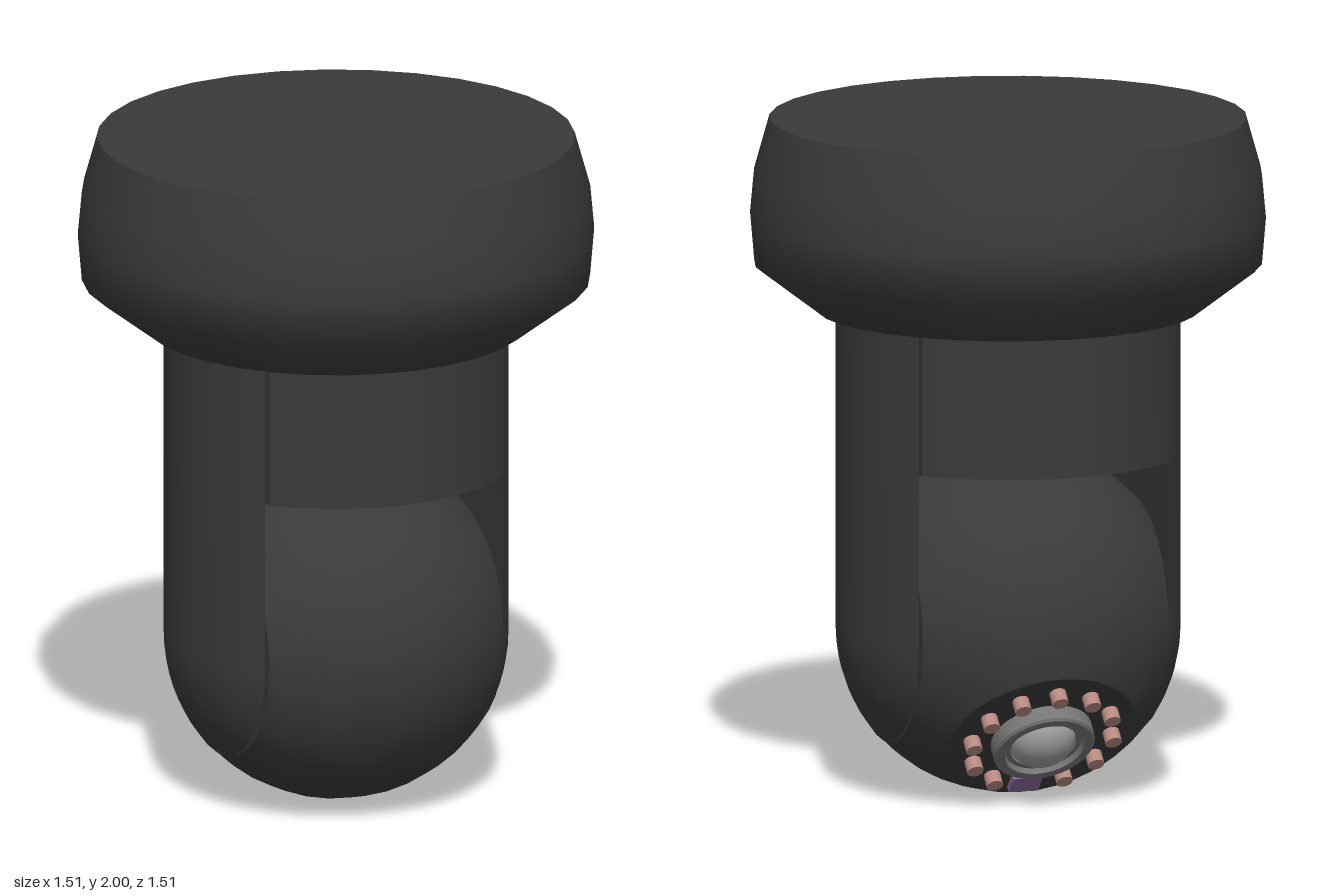
import * as THREE from 'three';
import { toCreasedNormals } from 'three/addons/utils/BufferGeometryUtils.js';
import { ConvexGeometry } from 'three/addons/geometries/ConvexGeometry.js';

const material = (color) => new THREE.MeshStandardMaterial({ color });
const V = (x, y, z) => new THREE.Vector3(x, y, z);
const SEG = 32;

export function createModel() {
  const model = new THREE.Group();
  const dark = material(0x3a3a3a);
  const metal = material(0x777777);
  const glass = material(0xa0a0a0);
  const red = material(0xb98a82);
  const purple = material(0x8a6a9c);

  const add = (name, geometry, mat, parent = model) => {
    const mesh = new THREE.Mesh(geometry, mat);
    mesh.name = name;
    parent.add(mesh);
    return mesh;
  };
  // Smooth convex solid with sharp cut edges
  const hull = (points) => toCreasedNormals(new ConvexGeometry(points), 0.4);

  // Ceiling mount: rounded side wall with a bevel, closed by two discs
  const profile = [[0.56, 1.43], [0.745, 1.57], [0.757, 1.71], [0.745, 1.84], [0.7, 2]];
  const mount = new THREE.Group();
  mount.name = 'ceilingMount';
  model.add(mount);
  add('mountWall', new THREE.LatheGeometry(profile.map(([r, y]) => new THREE.Vector2(r, y)), SEG), dark, mount);
  for (const [name, r, y, turn] of [['mountTop', 0.7, 2, -1], ['mountBottom', 0.56, 1.43, 1]]) {
    const disc = add(name, new THREE.CircleGeometry(r, SEG), dark, mount);
    disc.position.y = y;
    disc.rotation.x = turn * Math.PI / 2;
  }

  // Neck: drum with flat sides, between the arms
  const neckR = 0.515, cutX = 0.38;
  const neckPoints = [];
  const half = Math.asin(cutX / neckR);
  for (let i = 0; i <= 10; i++) {
    const a = -half + (2 * half * i) / 10;
    for (const s of [-1, 1]) for (const y of [1.01, 1.44]) {
      neckPoints.push(V(neckR * Math.sin(a), y, s * neckR * Math.cos(a)));
    }
  }
  add('neck', hull(neckPoints), dark);

  // Arms: slices of an upright cylinder that ends in a hemisphere
  const armR = 0.505, armX = 0.385, armY = 0.495;
  for (const side of [1, -1]) {
    const points = [];
    for (let i = 0; i <= 6; i++) {
      const t = (Math.acos(armX / armR) * i) / 6;
      const x = side * armR * Math.cos(t), r = armR * Math.sin(t);
      for (let j = 0; j <= 16; j++) {
        const a = (Math.PI * j) / 16;
        points.push(V(x, armY - r * Math.sin(a), r * Math.cos(a)));
      }
      points.push(V(x, 1.44, r), V(x, 1.44, -r));
    }
    add(side > 0 ? 'leftArm' : 'rightArm', hull(points), dark);
  }

  // Camera ball: sphere with two flat sides and a flat lens face
  const ballR = 0.515, faceD = 0.43;
  const head = new THREE.Group();
  head.name = 'cameraHead';
  head.position.y = ballR;
  model.add(head);
  const axis = V(0, -Math.SQRT1_2, -Math.SQRT1_2);
  const up = V(0, Math.SQRT1_2, -Math.SQRT1_2);
  const ballPoints = [];
  for (let i = 0; i <= 12; i++) {
    const t = -half + (2 * half * i) / 12;
    for (let j = 0; j < SEG; j++) {
      const a = (2 * Math.PI * j) / SEG, r = ballR * Math.cos(t);
      const p = V(ballR * Math.sin(t), r * Math.sin(a), r * Math.cos(a));
      if (p.dot(axis) < faceD - 0.005) ballPoints.push(p);
    }
  }
  const faceR = Math.sqrt(ballR ** 2 - faceD ** 2);
  for (let j = 0; j < SEG; j++) {
    const a = (2 * Math.PI * j) / SEG;
    ballPoints.push(axis.clone().multiplyScalar(faceD)
      .addScaledVector(up, faceR * Math.sin(a)).add(V(faceR * Math.cos(a), 0, 0)));
  }
  add('ball', hull(ballPoints), dark, head);

  // Lens face group: local +y points out of the face, local +z up along it
  const face = new THREE.Group();
  face.name = 'lensFace';
  face.position.copy(axis).multiplyScalar(faceD);
  face.rotation.x = -Math.PI * 0.75;
  head.add(face);

  // Stepped lens ring
  const ring = [[0.152, -0.01], [0.152, 0.045], [0.145, 0.052], [0.12, 0.052],
    [0.115, 0.035], [0.1, 0.035], [0.095, 0]];
  add('lensRing', toCreasedNormals(new THREE.LatheGeometry(
    ring.map(([r, y]) => new THREE.Vector2(r, y)), SEG), 0.4), metal, face);

  // Domed lens
  const lens = add('lens', new THREE.SphereGeometry(0.1, SEG, 12, 0, Math.PI * 2, 0, Math.PI / 2), glass, face);
  lens.scale.y = 0.85;
  lens.position.y = 0.005;

  // Lamps on a ring of twelve places; the lowest one holds the sensor
  const lampR = 0.215;
  for (let i = 1; i < 12; i++) {
    const a = (i * Math.PI) / 6;
    const lamp = add('lamp', new THREE.CylinderGeometry(0.025, 0.025, 0.05, 12), red, face);
    lamp.position.set(lampR * Math.sin(a), 0.015, -lampR * Math.cos(a));
  }
  add('sensor', new THREE.BoxGeometry(0.09, 0.03, 0.065), purple, face).position.set(0, 0.005, -0.22);

  return model;
}
